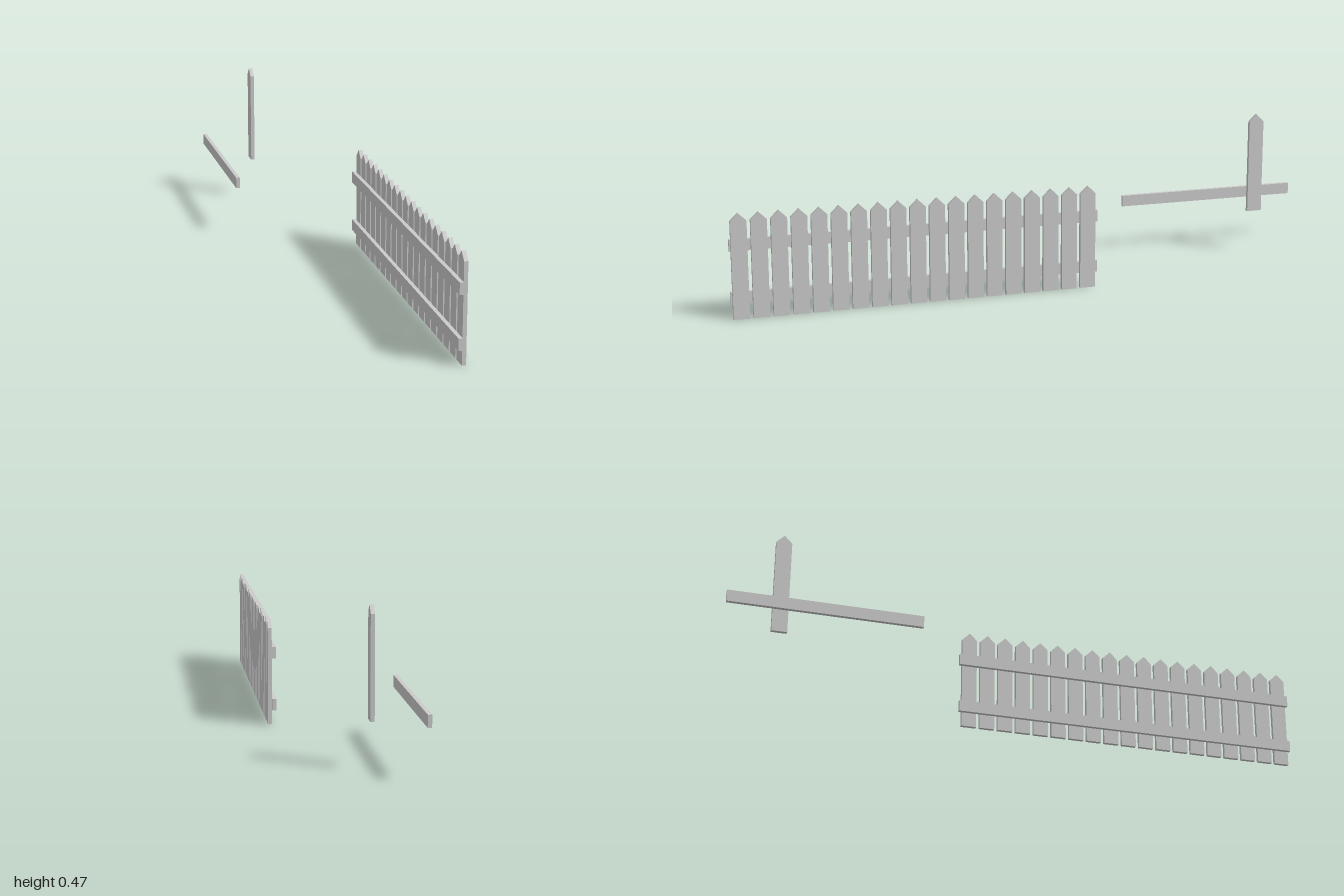
import * as THREE from 'three';

const THICK = 0.0125;   // board thickness along x
const WIDTH = 0.05;     // picket width along z
const HEIGHT = 0.333;   // picket height to the tip
const SHOULDER = 0.309; // height where the point begins
const RAIL_H = 0.037;

export function createModel() {
  const group = new THREE.Group();
  const material = new THREE.MeshStandardMaterial({ color: 0xcccccc, flatShading: true });

  // Pointed board outline, extruded and turned so its thickness runs along x
  const outline = new THREE.Shape([
    new THREE.Vector2(-WIDTH / 2, 0),
    new THREE.Vector2(WIDTH / 2, 0),
    new THREE.Vector2(WIDTH / 2, SHOULDER),
    new THREE.Vector2(0, HEIGHT),
    new THREE.Vector2(-WIDTH / 2, SHOULDER),
  ]);
  const picketGeometry = new THREE.ExtrudeGeometry(outline, { depth: THICK, bevelEnabled: false });
  picketGeometry.translate(0, 0, -THICK / 2).rotateY(Math.PI / 2);

  function addPicket(name, parent, x, y, z) {
    const mesh = new THREE.Mesh(picketGeometry, material);
    mesh.name = name;
    mesh.position.set(x, y, z);
    parent.add(mesh);
  }

  function addRail(name, parent, x, y, zMin, zMax) {
    const mesh = new THREE.Mesh(new THREE.BoxGeometry(THICK, RAIL_H, zMax - zMin), material);
    mesh.name = name;
    mesh.position.set(x, y, (zMin + zMax) / 2);
    parent.add(mesh);
  }

  // Assembled fence: a row of pickets on two rails
  const fence = new THREE.Group();
  fence.name = 'fence';
  const count = 19, first = 0.971, last = -0.138;
  for (let i = 0; i < count; i++) {
    addPicket(`picket${i + 1}`, fence, 0.182, 0, first + ((last - first) * i) / (count - 1));
  }
  addRail('lowerRail', fence, 0.1695, 0.065, -0.174, 1);
  addRail('upperRail', fence, 0.1695, 0.231, -0.174, 1);
  group.add(fence);

  // Separate single picket and single rail
  addPicket('loosePicket', group, -0.047, 0.142, -0.813);
  addRail('looseRail', group, -0.183, 0.174, -1, -0.388);

  return group;
}
